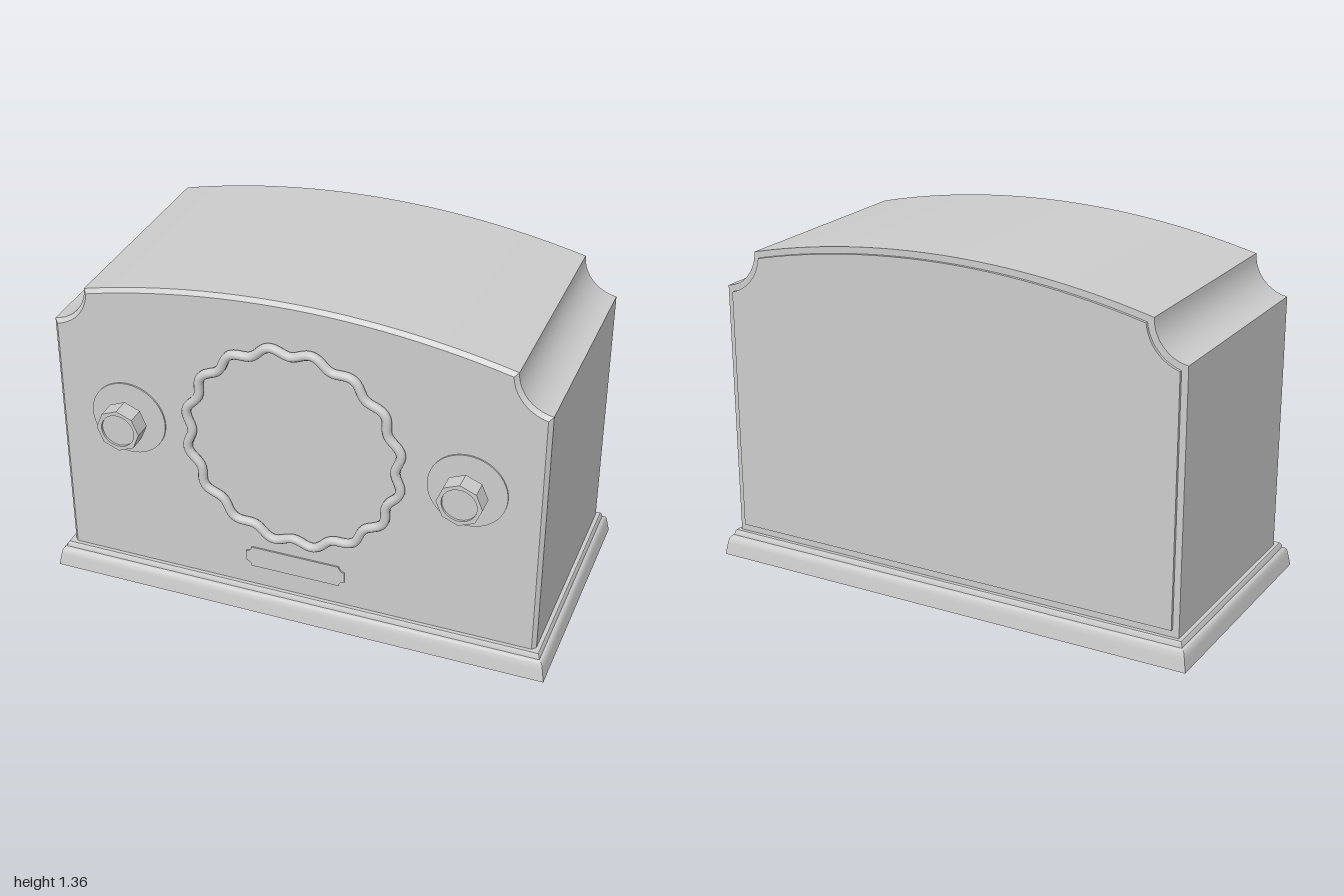
import * as THREE from 'three';
import { toCreasedNormals } from 'three/addons/utils/BufferGeometryUtils.js';

const BASE_Y = 0.1, FRONT = 0.43, BACK = -0.48;

// Cabinet outline inset by d: straight sides, scooped shoulders, arched top (counter-clockwise)
function outline(d, bottom) {
  const side = 0.95 - d, cx = 0.97, cy = 1.26, r = 0.15 + d, R = 3.412 - d;
  const top = x => -2.052 + Math.sqrt(R * R - x * x);
  let x = 0.82, y = 1.26;
  for (let i = 0; i < 20; i++) {
    y = top(x);
    x = cx - Math.sqrt(r * r - (y - cy) ** 2);
  }
  const a0 = Math.acos((side - cx) / r), a1 = Math.atan2(cy - y, x - cx);
  const half = [new THREE.Vector2(side, bottom)];
  for (let i = 0; i <= 10; i++) {
    const a = a0 + (a1 - a0) * i / 10;
    half.push(new THREE.Vector2(cx + r * Math.cos(a), cy - r * Math.sin(a)));
  }
  for (let i = 1; i < 12; i++) {
    const px = x * (1 - i / 12);
    half.push(new THREE.Vector2(px, top(px)));
  }
  const left = half.map(p => new THREE.Vector2(-p.x, p.y)).reverse();
  return [...half, new THREE.Vector2(0, top(0)), ...left];
}

// Skin over a list of closed loops of points
function loft(rings, crease = 0.5) {
  const pos = [];
  for (let i = 0; i < rings.length - 1; i++) {
    const n = rings[i].length;
    for (let j = 0; j < n; j++) {
      const k = (j + 1) % n;
      const a = rings[i][j], b = rings[i][k], c = rings[i + 1][k], d = rings[i + 1][j];
      pos.push(...a, ...b, ...c, ...a, ...c, ...d);
    }
  }
  const g = new THREE.BufferGeometry();
  g.setAttribute('position', new THREE.Float32BufferAttribute(pos, 3));
  return toCreasedNormals(g, crease);
}

const slab = (shape, depth, z) =>
  toCreasedNormals(new THREE.ExtrudeGeometry(shape, { depth, bevelEnabled: false, curveSegments: 24 }), 0.5)
    .translate(0, 0, z);

const rod = (r, z0, z1, sides = 32) =>
  new THREE.CylinderGeometry(r, r, z1 - z0, sides).rotateX(Math.PI / 2).translate(0, 0, (z0 + z1) / 2);

export function createModel() {
  const model = new THREE.Group();
  const grey = new THREE.MeshStandardMaterial({ color: 0xcccccc });
  grey.name = 'plain grey';
  const add = (name, geometry, parent = model) => {
    const mesh = new THREE.Mesh(geometry, grey);
    mesh.name = name;
    parent.add(mesh);
    return mesh;
  };

  // Cabinet with a chamfered front edge
  const cabinet = new THREE.Group();
  cabinet.name = 'cabinet';
  model.add(cabinet);
  const full = outline(0, BASE_Y), inset = outline(0.015, BASE_Y);
  const at = (pts, z) => pts.map(p => [p.x, p.y, z]);
  add('cabinetShell', loft([at(full, BACK), at(full, FRONT - 0.015), at(inset, FRONT)]), cabinet);
  add('cabinetFront', new THREE.ShapeGeometry(new THREE.Shape(inset)).translate(0, 0, FRONT), cabinet);
  add('cabinetBack', new THREE.ShapeGeometry(new THREE.Shape(full)).rotateY(Math.PI).translate(0, 0, BACK), cabinet);

  // Raised back panel
  add('backPanel', slab(new THREE.Shape(outline(0.025, 0.13)), 0.012, BACK - 0.012));

  // Hollow moulded plinth: profile of inset and height, from inside to outside
  const profile = [[0.07, 0.1], [0.07, 0], [0, 0], [0.008, 0.045], [0.013, 0.068], [0.02, 0.076],
    [0.027, 0.079], [0.03, 0.092], [0.035, 0.1], [0.08, 0.1]];
  const corners = [[1, 1], [1, -1], [-1, -1], [-1, 1]];
  add('plinth', loft(profile.map(([d, y]) =>
    corners.map(([sx, sz]) => [sx * (1 - d), y, sz * (0.505 - d) - 0.025])), 0.7));

  // Scalloped speaker ring
  const wave = [];
  for (let i = 0; i < 128; i++) {
    const a = i / 128 * Math.PI * 2, r = 0.411 - 0.014 * Math.cos(16 * a);
    wave.push(new THREE.Vector3(r * Math.cos(a), 0.765 + r * Math.sin(a), 0.446));
  }
  add('speakerRing', new THREE.TubeGeometry(new THREE.CatmullRomCurve3(wave, true), 256, 0.018, 10, true));

  // Knobs: dial plate, stem, eight-sided grip with a sunken face
  const grip = new THREE.Shape();
  for (let i = 0; i < 8; i++) {
    const a = i * Math.PI / 4;
    grip[i ? 'lineTo' : 'moveTo'](0.086 * Math.cos(a), 0.086 * Math.sin(a));
  }
  grip.closePath();
  grip.holes.push(new THREE.Path().absarc(0, 0, 0.066, 0, Math.PI * 2, true));
  for (const side of [-1, 1]) {
    const knob = new THREE.Group();
    knob.name = side > 0 ? 'leftKnob' : 'rightKnob';
    knob.position.set(side * 0.663, 0.747, 0);
    add('dialPlate', rod(0.15, FRONT - 0.002, FRONT + 0.006, 48), knob);
    add('knobStem', rod(0.056, FRONT, 0.47), knob);
    add('knobGrip', slab(grip, 0.07, 0.461), knob);
    add('knobFace', rod(0.067, 0.461, 0.522), knob);
    model.add(knob);
  }

  // Small plate with scooped corners
  const w = 0.2, h = 0.044, c = 0.022, q = Math.PI / 2;
  const plate = new THREE.Shape();
  plate.moveTo(-w + c, -h);
  plate.absarc(w, -h, c, 2 * q, q, true);
  plate.absarc(w, h, c, 3 * q, 2 * q, true);
  plate.absarc(-w, h, c, 0, -q, true);
  plate.absarc(-w, -h, c, q, 0, true);
  add('namePlate', slab(plate, 0.008, FRONT - 0.002).translate(0, 0.23, 0));

  return model;
}
